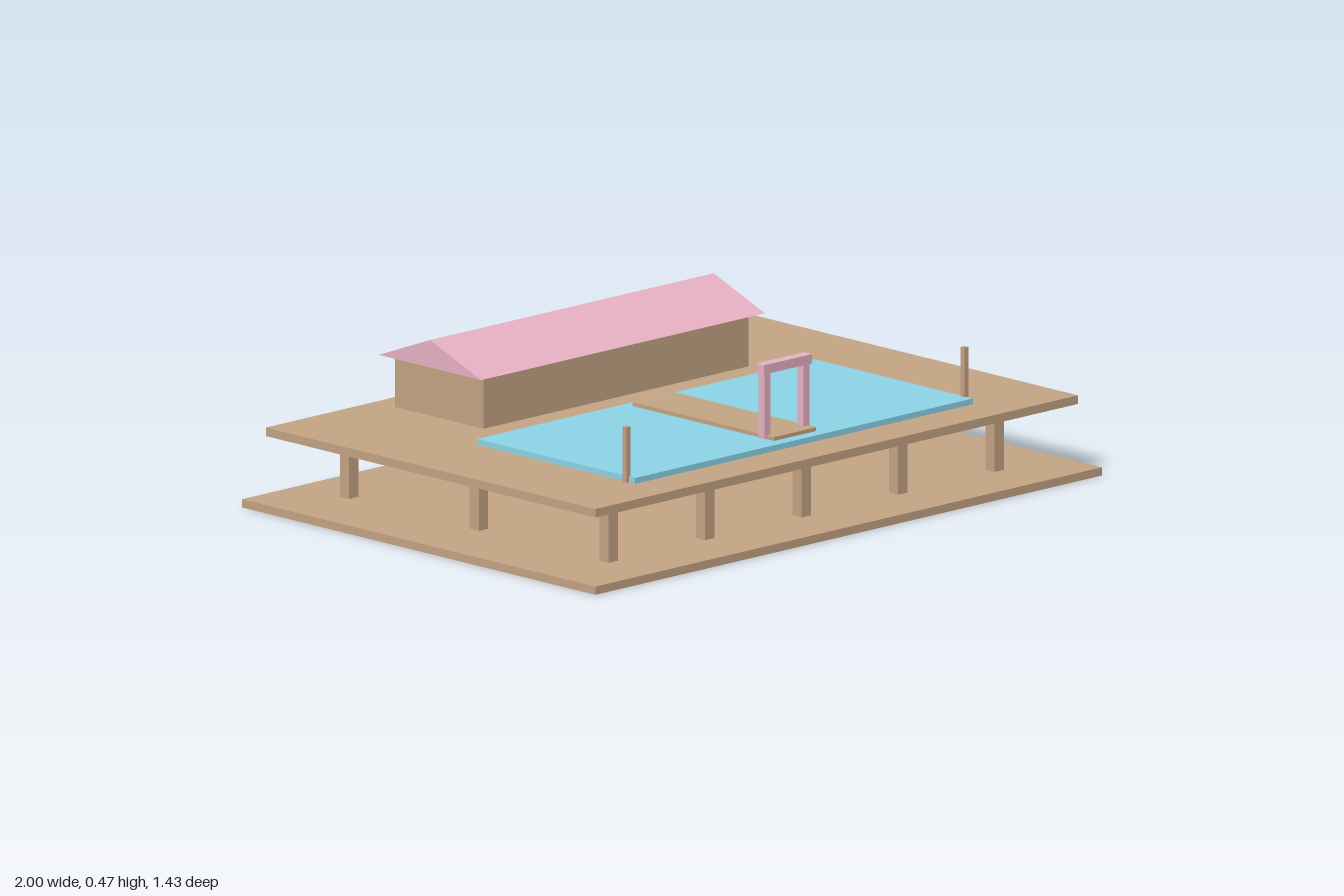
import * as THREE from 'three';

export function createModel() {
  const model = new THREE.Group();
  const wood = new THREE.MeshStandardMaterial({ color: 0xc4a484 });
  wood.name = 'wood';
  const pink = new THREE.MeshStandardMaterial({ color: 0xf6bdd0 });
  pink.name = 'pink paint';
  const water = new THREE.MeshStandardMaterial({ color: 0x8dd5e8 });
  water.name = 'water blue';

  // Box given by its centre in x and z, its bottom and its top
  function box(name, material, w, d, x, z, y0, y1, parent = model) {
    const mesh = new THREE.Mesh(new THREE.BoxGeometry(w, y1 - y0, d), material);
    mesh.name = name;
    mesh.position.set(x, (y0 + y1) / 2, z);
    parent.add(mesh);
    return mesh;
  }

  function group(name) {
    const g = new THREE.Group();
    g.name = name;
    model.add(g);
    return g;
  }

  // Ground slab and raised deck
  box('groundSlab', wood, 2, 1.429, 0, 0, 0, 0.024);
  box('deck', wood, 1.905, 1.333, 0, 0, 0.208, 0.233);

  // Grid of stilts carrying the deck
  const stilts = group('stilts');
  for (const x of [-0.762, -0.381, 0, 0.381, 0.762]) {
    for (const z of [-0.524, 0, 0.524]) {
      box('stilt', wood, 0.037, 0.037, x, z, 0.024, 0.208, stilts);
    }
  }

  // Pool with a walkway across it
  box('pool', water, 1.333, 0.64, 0, 0.214, 0.233, 0.25);
  box('walkway', wood, 0.167, 0.571, 0, 0.212, 0.24, 0.261);

  // Slim posts at the front corners of the pool
  for (const s of [-1, 1]) {
    box(s > 0 ? 'leftPoolPost' : 'rightPoolPost', wood, 0.016, 0.016, s * 0.667, 0.5, 0.233, 0.394);
  }

  // Gate on the walkway
  const gate = group('gate');
  for (const s of [-1, 1]) box('gatePost', pink, 0.024, 0.024, s * 0.077, 0.453, 0.25, 0.44, gate);
  box('gateBeam', pink, 0.19, 0.033, 0, 0.453, 0.44, 0.467, gate);

  // Long hall with a gabled roof
  const hall = group('hall');
  box('hallWalls', wood, 1.046, 0.357, 0, -0.405, 0.233, 0.386, hall);
  const gable = new THREE.Shape([
    new THREE.Vector2(-0.207, 0),
    new THREE.Vector2(0.207, 0),
    new THREE.Vector2(0, 0.08),
  ]);
  const roofGeometry = new THREE.ExtrudeGeometry(gable, { depth: 1.12, bevelEnabled: false });
  roofGeometry.translate(0, 0, -0.56).rotateY(Math.PI / 2);
  const roof = new THREE.Mesh(roofGeometry, pink);
  roof.name = 'roof';
  roof.position.set(0, 0.386, -0.405);
  hall.add(roof);

  return model;
}
